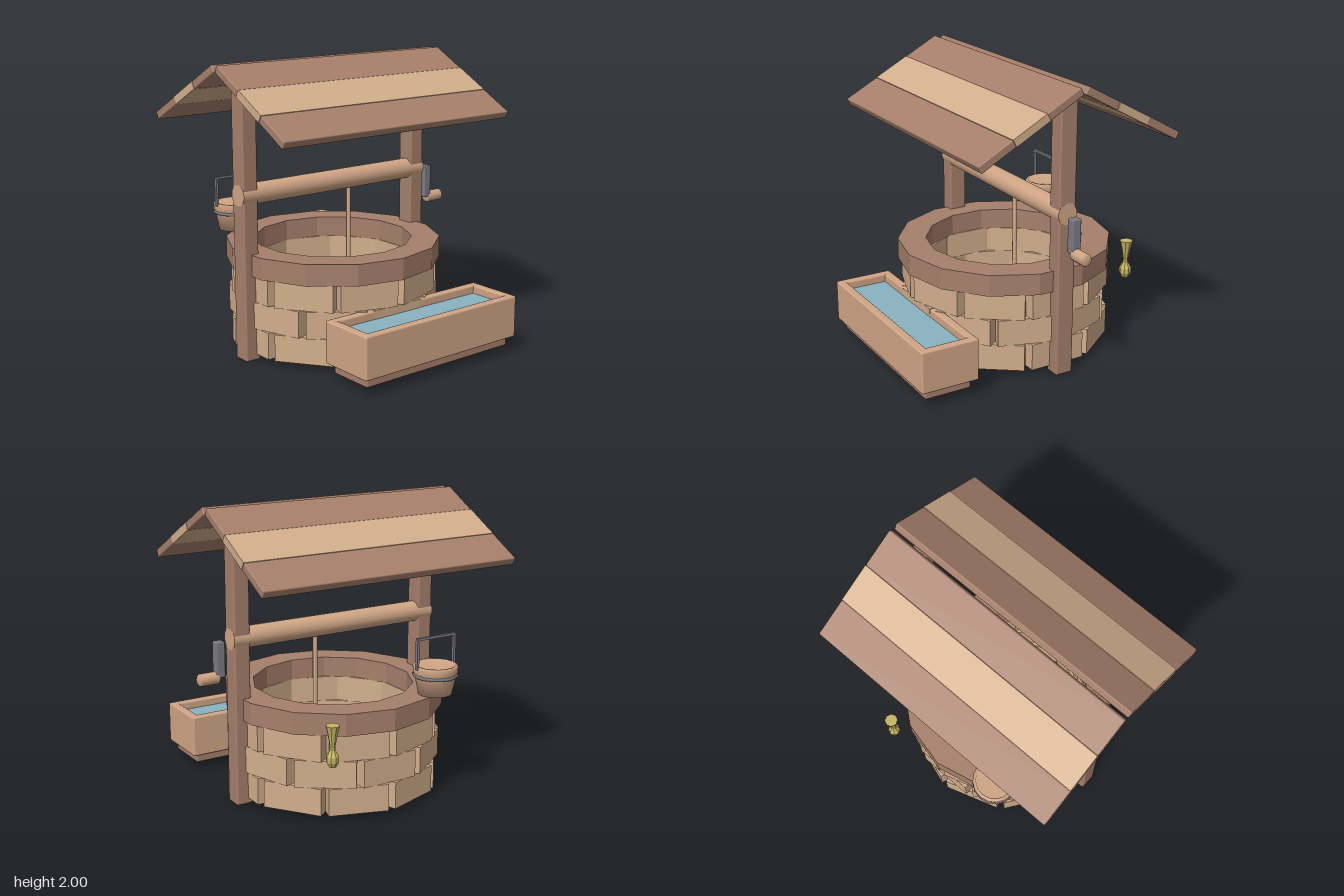
import * as THREE from 'three';
import { RoundedBoxGeometry } from 'three/addons/geometries/RoundedBoxGeometry.js';

export function createModel() {
  const model = new THREE.Group();
  model.name = 'wishingWell';
  const mat = (name, color, extra = {}) =>
    Object.assign(new THREE.MeshStandardMaterial({ color, ...extra }), { name });
  const darkWood = mat('darkWood', 0xa67f6b);
  const stone = mat('stone', 0xd2ae8c, { flatShading: true });
  const paleWood = mat('paleWood', 0xd2ae8c);
  const tanWood = mat('tanWood', 0xd0a585);
  const darkFlat = mat('darkRim', 0xa67f6b, { flatShading: true });
  const metal = mat('metal', 0x7d7a85);
  const brass = mat('brass', 0xc6b565, { flatShading: true });
  const water = mat('water', 0x8ab3c2);

  const CX = -0.037, CZ = -0.137; // well axis

  function add(name, geometry, material, x = 0, y = 0, z = 0, parent = model) {
    const mesh = new THREE.Mesh(geometry, material);
    mesh.name = name;
    mesh.position.set(x, y, z);
    parent.add(mesh);
    return mesh;
  }
  // Box given by its limits, with softly rounded edges
  function block(name, material, [x0, x1], [y0, y1], [z0, z1], r = 0.012, parent = model) {
    const g = new RoundedBoxGeometry(x1 - x0, y1 - y0, z1 - z0, 2, r);
    return add(name, g, material, (x0 + x1) / 2, (y0 + y1) / 2, (z0 + z1) / 2, parent);
  }

  // Stone wall: three staggered courses of ten blocks
  const wall = new THREE.Group();
  wall.name = 'stoneWall';
  wall.position.set(CX, 0, CZ);
  model.add(wall);
  const course = 0.183;
  for (let row = 0; row < 3; row++) {
    for (let i = 0; i < 10; i++) {
      const a = (i + (row % 2 ? 0 : 0.5)) * Math.PI / 5;
      const brick = add('brick', new THREE.BoxGeometry(0.4, course, 0.17), stone,
        Math.sin(a) * 0.615, 0.043 + course * (row + 0.5), Math.cos(a) * 0.615, wall);
      brick.rotation.y = a;
    }
  }

  // Fourteen-sided rim and the floor disc
  const rimProfile = [[0.55, 0.59], [0.745, 0.59], [0.745, 0.737], [0.55, 0.737], [0.55, 0.59]]
    .map(([x, y]) => new THREE.Vector2(x, y));
  add('rim', new THREE.LatheGeometry(rimProfile, 14), darkFlat, CX, 0, CZ);
  add('floor', new THREE.CylinderGeometry(0.53, 0.53, 0.04, 14), darkFlat, CX, 0.03, CZ);

  // Posts
  for (const x of [-0.762, 0.688])
    block('post', darkWood, [x - 0.058, x + 0.058], [0, 1.93], [-0.202, -0.074], 0.015);

  // Roof: two slopes of three planks
  const roofLength = 1.885, slope = 0.495, plankW = 0.272;
  for (const side of [1, -1]) {
    const panel = new THREE.Group();
    panel.name = side > 0 ? 'frontRoof' : 'backRoof';
    panel.position.set(-0.037, 1.78, CZ + side * 0.376);
    panel.rotation.x = side * slope;
    model.add(panel);
    for (let i = -1; i <= 1; i++)
      add('roofPlank', new RoundedBoxGeometry(roofLength, 0.055, plankW, 2, i ? 0.008 : 0.002),
        i ? darkWood : paleWood, 0, 0, i * plankW, panel);
  }

  // Windlass: roller, rope and crank
  const roller = add('roller', new THREE.CylinderGeometry(0.072, 0.072, 1.567, 16), tanWood, CX, 1.135, CZ);
  roller.rotation.z = Math.PI / 2;
  add('rope', new THREE.CylinderGeometry(0.016, 0.016, 0.9, 8), paleWood, 0.103, 0.65, CZ);
  block('crankArm', metal, [0.795, 0.857], [0.895, 1.132], [-0.17, -0.104], 0.008);
  const gripProfile = [[0, 0], [0.032, 0], [0.042, 0.012], [0.042, 0.133], [0.032, 0.145], [0, 0.145]]
    .map(([x, y]) => new THREE.Vector2(x, y));
  const grip = add('crankHandle', new THREE.LatheGeometry(gripProfile, 12), tanWood, 0.975, 0.893, CZ);
  grip.rotation.z = Math.PI / 2;

  // Trough with water
  block('troughBase', darkWood, [-0.56, 0.68], [0.05, 0.13], [0.54, 0.87]);
  block('troughBottom', tanWood, [-0.6, 0.72], [0.115, 0.17], [0.5, 0.91]);
  for (const [z0, z1] of [[0.5, 0.56], [0.85, 0.91]])
    block('troughLongWall', tanWood, [-0.6, 0.72], [0.115, 0.405], [z0, z1]);
  for (const [x0, x1] of [[-0.6, -0.54], [0.66, 0.72]])
    block('troughEndWall', tanWood, [x0, x1], [0.115, 0.405], [0.5, 0.91]);
  add('troughWater', new THREE.BoxGeometry(1.2, 0.008, 0.29), water, 0.06, 0.345, 0.705);

  // Bucket on the rim
  const bucket = new THREE.Group();
  bucket.name = 'bucket';
  bucket.position.set(-0.45, 0.737, -0.745);
  model.add(bucket);
  const bucketProfile = [[0, 0], [0.112, 0], [0.139, 0.13], [0.148, 0.15], [0.151, 0.188], [0.142, 0.198],
    [0.13, 0.198], [0.128, 0.188], [0, 0.188]].map(([x, y]) => new THREE.Vector2(x, y));
  const bucketGeometry = new THREE.LatheGeometry(bucketProfile, 16);
  add('pail', bucketGeometry, tanWood, 0, 0, 0, bucket);
  const band = add('bucketBand', new THREE.TorusGeometry(0.141, 0.012, 6, 16), metal, 0, 0.13, 0, bucket);
  band.rotation.x = Math.PI / 2;
  for (const s of [-1, 1])
    add('bailSide', new THREE.BoxGeometry(0.016, 0.21, 0.022), metal, s * 0.148, 0.286, 0, bucket);
  add('bailBar', new THREE.BoxGeometry(0.312, 0.016, 0.022), metal, 0, 0.385, 0, bucket);

  // Brass fitting hanging at the back
  const brassProfile = [[0, 0.43], [0.025, 0.436], [0.042, 0.47], [0.042, 0.505], [0.02, 0.545],
    [0.018, 0.57], [0.03, 0.64], [0.046, 0.707], [0, 0.707]].map(([x, y]) => new THREE.Vector2(x, y));
  add('brassFitting', new THREE.LatheGeometry(brassProfile, 8), brass, 0.42, 0, -0.862);

  return model;
}
